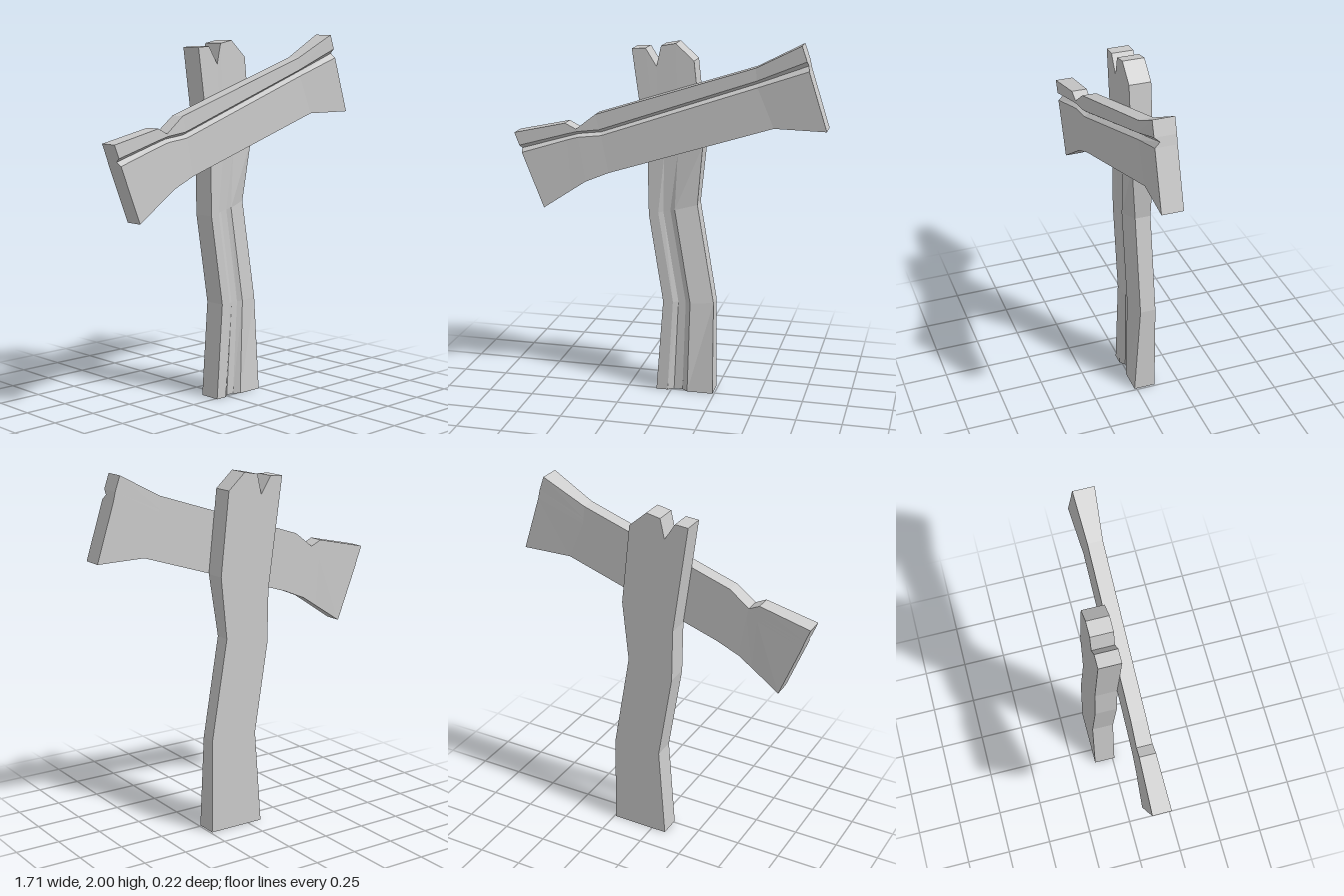
import * as THREE from 'three';

// Closed flat-shaded plank from a grid of front points [x, y, zFront, zBack];
// rows run upward, columns run left to right.
function plank(name, grid) {
  const pos = [];
  const F = (r, c) => [grid[r][c][0], grid[r][c][1], grid[r][c][2]];
  const B = (r, c) => [grid[r][c][0], grid[r][c][1], grid[r][c][3]];
  const quad = (a, b, c, d) => pos.push(...a, ...b, ...c, ...a, ...c, ...d);
  const R = grid.length - 1, C = grid[0].length - 1;
  for (let r = 0; r < R; r++) {
    for (let c = 0; c < C; c++) {
      quad(F(r, c), F(r, c + 1), F(r + 1, c + 1), F(r + 1, c));
      quad(B(r, c), B(r + 1, c), B(r + 1, c + 1), B(r, c + 1));
    }
    quad(F(r, C), B(r, C), B(r + 1, C), F(r + 1, C));
    quad(F(r, 0), F(r + 1, 0), B(r + 1, 0), B(r, 0));
  }
  for (let c = 0; c < C; c++) {
    quad(F(0, c), B(0, c), B(0, c + 1), F(0, c + 1));
    quad(F(R, c), F(R, c + 1), B(R, c + 1), B(R, c));
  }
  const geo = new THREE.BufferGeometry();
  geo.setAttribute('position', new THREE.Float32BufferAttribute(pos, 3));
  geo.computeVertexNormals();
  const mesh = new THREE.Mesh(geo, new THREE.MeshStandardMaterial({ color: 0xcccccc, flatShading: true }));
  mesh.name = name;
  return mesh;
}

// Crooked post with a shallow front groove and a splintered top
function makePost() {
  const back = -0.11, front = 0.012;
  const across = [0, 0.2, 0.3, 0.45, 0.55, 1];
  const inGroove = [0, 0, 1, 1, 0, 0];
  // left x, left y, right x, right y, right edge z, groove depth
  const stations = [
    [-0.085, 0, 0.24, 0, 0.012, 0.025],
    [-0.045, 0.53, 0.235, 0.53, -0.022, 0.015],
    [-0.125, 1.03, 0.14, 1.09, -0.022, 0.01],
    [-0.13, 1.33, 0.175, 1.43, 0.01, 0],
  ];
  const grid = stations.map(([lx, ly, rx, ry, rz, depth]) => across.map((t, i) => [
    lx + (rx - lx) * t,
    ly + (ry - ly) * t,
    (t === 1 ? rz : front) - inGroove[i] * depth,
    back,
  ]));
  const top = [[-0.215, 1.94], [-0.14, 1.945], [-0.08, 1.85], [-0.055, 1.96], [0.025, 1.975], [0.125, 1.885]];
  grid.push(top.map(([x, y]) => [x, y, 0.01, back]));
  return plank('post', grid);
}

// Slanted board, flared at the ends, with a V groove along its front
function makeBoard() {
  const zFront = [0.1, 0.095, 0.094, 0.09, 0.09, 0.11];
  const zBack = [0, 0.008, 0.01, 0.01, 0.01, -0.005];
  const bottom = [[-0.7, 1.055], [-0.54, 1.162], [-0.46, 1.215], [-0.33, 1.27], [0.57, 1.56], [0.85, 1.56]];
  const grooveLow = [[-0.82, 1.36], [-0.56, 1.443], [-0.5, 1.46], [-0.37, 1.475], [0.48, 1.772], [0.75, 1.87]];
  const grooveDeep = [[-0.826, 1.38], [-0.562, 1.458], [-0.503, 1.475], [-0.375, 1.49], [0.477, 1.79], [0.744, 1.895]];
  const grooveHigh = [[-0.833, 1.4], [-0.564, 1.476], [-0.506, 1.491], [-0.38, 1.507], [0.475, 1.807], [0.738, 1.92]];
  const top = [[-0.86, 1.47], [-0.57, 1.535], [-0.51, 1.505], [-0.4, 1.59], [0.47, 1.875], [0.71, 2]];
  const grid = [bottom, grooveLow, grooveDeep, grooveHigh, top].map((line, r) =>
    line.map(([x, y], i) => [x, y, zFront[i] - (r === 2 ? 0.028 : 0), zBack[i]]));
  return plank('signBoard', grid);
}

export function createModel() {
  const group = new THREE.Group();
  group.name = 'signpost';
  group.add(makePost(), makeBoard());
  return group;
}
